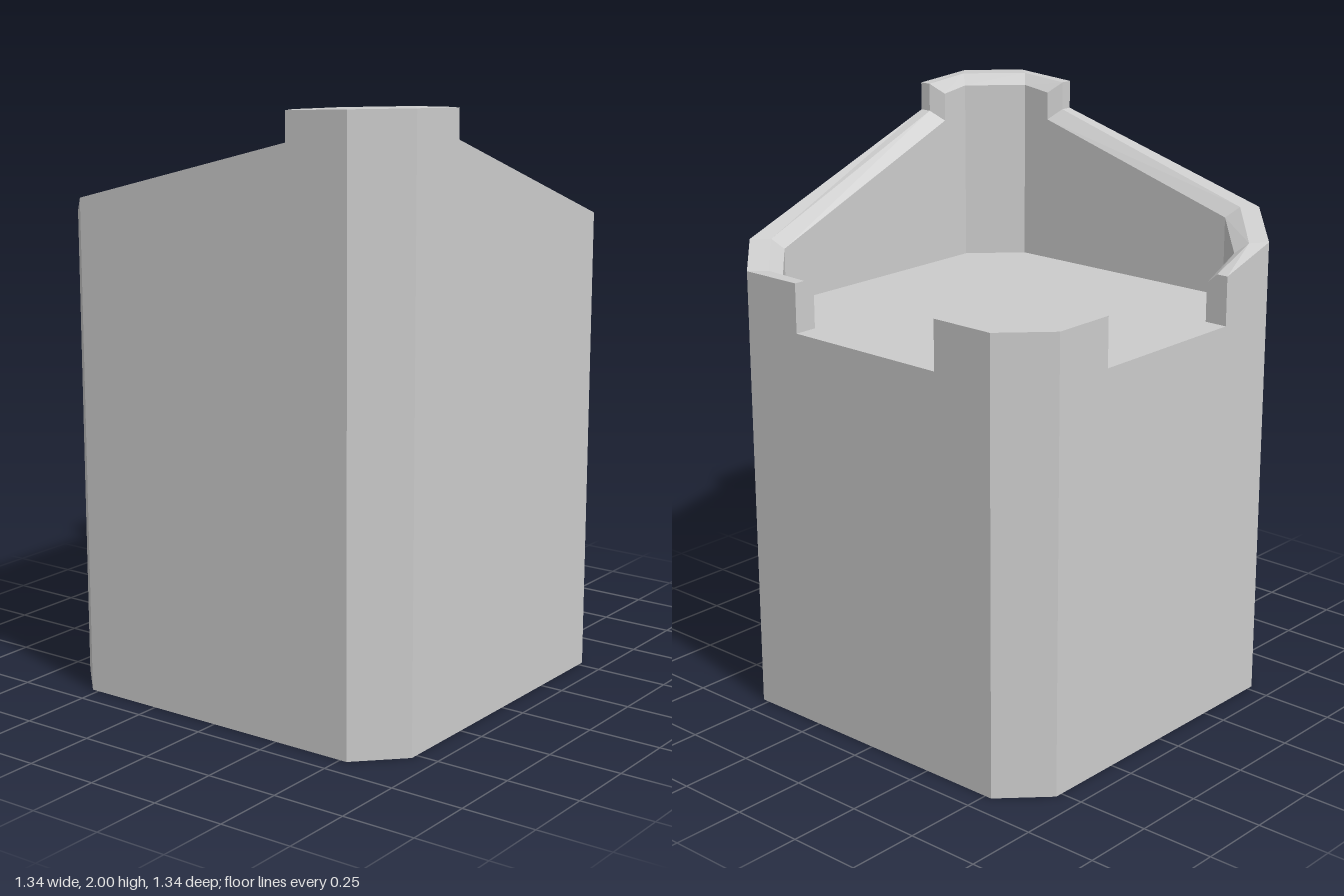
import * as THREE from 'three';

const FLOOR = 1.355, HALF = 0.67, CUT = 0.525, BEVEL = 0.035;

// Sweeps a bevelled wall section through stations: [outerX, outerZ, rimX, rimZ, innerX, innerZ, height]
function wallGeometry(stations) {
  const sections = stations.map(([ox, oz, rx, rz, ix, iz, y]) => [
    [ox, FLOOR, oz], [ox, y, oz], [rx, y, rz], [ix, y - BEVEL, iz], [ix, FLOOR, iz],
  ].map((p) => new THREE.Vector3(...p)));

  const positions = [];
  const triangle = new THREE.Triangle();
  const tri = (a, b, c) => {
    if (triangle.set(a, b, c).getArea() < 1e-7) return;
    for (const p of [a, b, c]) positions.push(p.x, p.y, p.z);
  };

  for (let i = 0; i < sections.length - 1; i++) {
    const s = sections[i], t = sections[i + 1];
    for (let k = 0; k < 4; k++) {
      tri(s[k], t[k], t[k + 1]);
      tri(s[k], t[k + 1], s[k + 1]);
    }
  }
  // End caps at the openings
  const first = sections[0], last = sections[sections.length - 1];
  for (let k = 1; k < 4; k++) {
    tri(first[0], first[k], first[k + 1]);
    tri(last[0], last[k + 1], last[k]);
  }

  const geometry = new THREE.BufferGeometry();
  geometry.setAttribute('position', new THREE.Float32BufferAttribute(positions, 3));
  geometry.computeVertexNormals();
  return geometry;
}

export function createModel() {
  const model = new THREE.Group();
  model.name = 'tower';
  const material = new THREE.MeshStandardMaterial({ color: 0xcccccc, flatShading: true });
  const add = (name, geometry) => {
    const mesh = new THREE.Mesh(geometry, material);
    mesh.name = name;
    model.add(mesh);
  };

  // Solid square column with cut corners; its top is the floor inside the parapet
  const outline = new THREE.Shape([
    [CUT, -HALF], [HALF, -CUT], [HALF, CUT], [CUT, HALF],
    [-CUT, HALF], [-HALF, CUT], [-HALF, -CUT], [-CUT, -HALF],
  ].map(([x, y]) => new THREE.Vector2(x, y)));
  const column = new THREE.ExtrudeGeometry(outline, { depth: FLOOR, bevelEnabled: false });
  column.rotateX(-Math.PI / 2);
  add('column', column);

  // Long parapet: back post, sloping side, raised corner, sloping front, side post
  add('slopingParapet', wallGeometry([
    [-0.3, -HALF, -0.3, -0.63, -0.3, -0.59, 1.52],
    [-CUT, -HALF, -0.47, -0.63, -0.445, -0.59, 1.59],
    [-HALF, -CUT, -0.625, -0.48, -0.59, -0.445, 1.66],
    [-HALF, 0.3, -0.63, 0.3, -0.59, 0.335, 1.89],
    [-HALF, 0.3, -0.63, 0.3, -0.59, 0.335, 1.985],
    [-HALF, CUT, -0.625, 0.47, -0.59, 0.44, 2],
    [-CUT, HALF, -0.47, 0.625, -0.44, 0.59, 2],
    [-0.3, HALF, -0.3, 0.63, -0.335, 0.59, 1.985],
    [-0.3, HALF, -0.3, 0.63, -0.335, 0.59, 1.89],
    [CUT, HALF, 0.475, 0.62, 0.445, 0.59, 1.575],
    [HALF, CUT, 0.62, 0.475, 0.59, 0.445, 1.52],
    [HALF, 0.3, 0.63, 0.3, 0.59, 0.3, 1.52],
  ]));

  // Low parapet around the remaining corner, between the two openings
  add('cornerParapet', wallGeometry([
    [HALF, -0.3, 0.63, -0.3, 0.59, -0.3, 1.52],
    [HALF, -CUT, 0.63, -0.46, 0.59, -0.445, 1.52],
    [CUT, -HALF, 0.46, -0.63, 0.445, -0.59, 1.52],
    [0.3, -HALF, 0.3, -0.63, 0.3, -0.59, 1.52],
  ]));

  return model;
}
